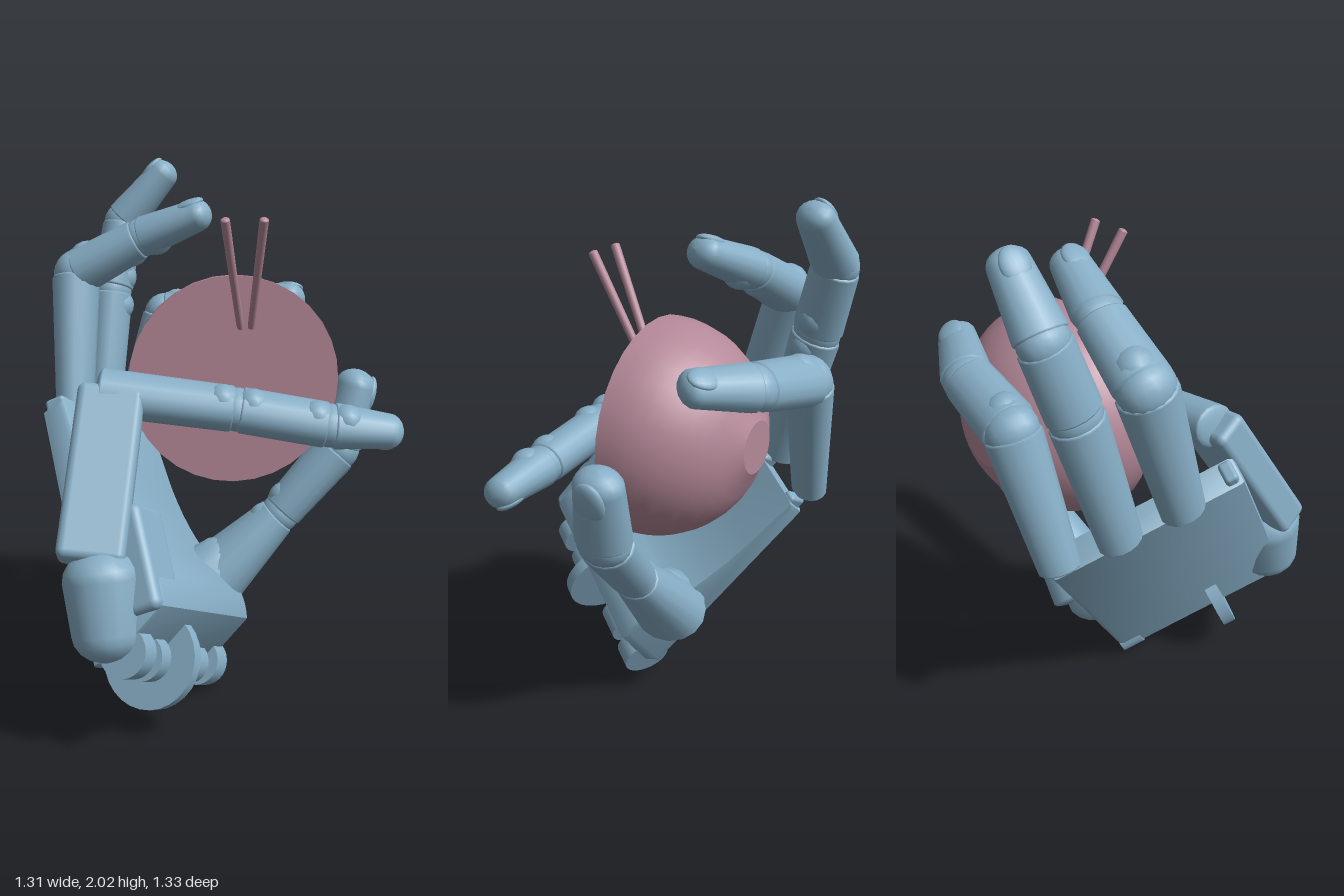
import * as THREE from 'three';
import { toCreasedNormals } from 'three/addons/utils/BufferGeometryUtils.js';
import { RoundedBoxGeometry } from 'three/addons/geometries/RoundedBoxGeometry.js';

const V = (p) => new THREE.Vector3(...p);
const blue = new THREE.MeshStandardMaterial({ color: 0x87aec6 });
const mauve = new THREE.MeshStandardMaterial({ color: 0xb48898 });

function add(parent, name, geometry, material = blue) {
  const mesh = new THREE.Mesh(geometry, material);
  mesh.name = name;
  parent.add(mesh);
  return mesh;
}

// Turn a mesh so its y runs along dir and its x lies as near as possible to lateral
function orient(mesh, dir, lateral) {
  const y = dir.clone().normalize();
  const x = lateral.clone().addScaledVector(y, -lateral.dot(y)).normalize();
  const z = x.clone().cross(y);
  mesh.quaternion.setFromRotationMatrix(new THREE.Matrix4().makeBasis(x, y, z));
  return z;
}

// Rounded, tapering limb piece between two points
function limb(parent, name, a, b, ra, rb, { material = blue, roundA = 0.5, roundB = roundA, lateral = V([1, 0, 0]) } = {}) {
  const A = V(a), B = V(b), L = A.distanceTo(B);
  const pts = [];
  for (let i = 0; i <= 5; i++) {
    const t = (i / 5) * Math.PI / 2;
    pts.push(new THREE.Vector2(ra * Math.sin(t), ra * roundA * (1 - Math.cos(t))));
  }
  for (let i = 5; i >= 0; i--) {
    const t = (i / 5) * Math.PI / 2;
    pts.push(new THREE.Vector2(rb * Math.sin(t), L - rb * roundB * (1 - Math.cos(t))));
  }
  const m = add(parent, name, new THREE.LatheGeometry(pts, 16), material);
  m.position.copy(A);
  orient(m, B.sub(A), lateral);
  return m;
}

// Finger: slightly flat bones along points, knuckles and pads at the joints, nail on the last bone
function finger(parent, name, points, radii, nailSide) {
  const g = new THREE.Group();
  g.name = name;
  parent.add(g);
  const last = points.length - 2;
  const a = V(points[last]), b = V(points[last + 1]);
  const tipDir = b.clone().sub(a).normalize();
  const lateral = tipDir.clone().cross(V(nailSide)).normalize();
  const wide = 1.1, thin = 0.92;
  for (let i = 0; i <= last; i++) {
    const tip = i === last;
    const bone = limb(g, tip ? 'fingertip' : 'fingerBone', points[i], points[i + 1], radii[i], radii[i + 1],
      { roundA: 0.25, roundB: tip ? 0.8 : 0.25, lateral });
    bone.scale.set(wide, 1, thin);
    if (i > 0) {
      const r = radii[i];
      const d = V(points[i + 1]).sub(V(points[i - 1])).normalize();
      const knuckle = add(g, 'knuckle', new THREE.SphereGeometry(r * 0.95, 16, 12));
      knuckle.position.copy(V(points[i]));
      const side = orient(knuckle, d, lateral);
      knuckle.scale.set(wide, 1, thin);
      for (const s of [-0.65, 0.65]) {
        const pad = add(g, 'jointPad', new THREE.SphereGeometry(r * 0.78, 14, 10));
        pad.position.copy(V(points[i])).addScaledVector(side, -r * 0.28).addScaledVector(d, s * r);
      }
    }
  }
  const r = radii[last + 1];
  const nail = add(g, 'nail', new THREE.SphereGeometry(1, 16, 10));
  nail.scale.set(r * 0.75, r * 0.95, r * 0.3);
  const out = orient(nail, tipDir, lateral);
  nail.position.copy(b).addScaledVector(tipDir, -r * 1.1).addScaledVector(out, r * 0.72);
}

function buildPalm(parent) {
  const across = V([-0.33, 0.27, 0.57]);
  const along = V([-0.2, 0.86, -0.6]).normalize();
  const face = along.clone().cross(across).normalize();
  const side = along.clone().cross(face);
  const palm = new THREE.Group();
  palm.name = 'palm';
  palm.position.set(-0.48, 0.3, 0.6);
  palm.quaternion.setFromRotationMatrix(new THREE.Matrix4().makeBasis(along, face, side));
  parent.add(palm);

  // Wedge: thick at the wrist, thin at the knuckles
  const s = new THREE.Shape();
  s.moveTo(0.06, 0.02);
  s.lineTo(0.98, 0.02);
  s.lineTo(1.0, 0.08);
  s.lineTo(0.78, 0.1);
  s.quadraticCurveTo(0.5, 0.14, 0.38, 0.24);
  s.quadraticCurveTo(0.28, 0.31, 0.18, 0.29);
  s.lineTo(0.06, 0.08);
  s.closePath();
  const body = new THREE.ExtrudeGeometry(s, {
    depth: 0.71, bevelEnabled: true, bevelSize: 0.02, bevelThickness: 0.02, bevelSegments: 2, curveSegments: 8,
  });
  body.translate(0, 0, 0.01);
  add(palm, 'palmBody', toCreasedNormals(body, 0.6));

  // Raised pad on the little finger's side
  add(palm, 'heelPad', new RoundedBoxGeometry(0.38, 0.18, 0.2, 3, 0.03)).position.set(0.35, 0.22, 0.06);

  // Wrist hinge lobes and the larger pivot disc: [along, face, side, radius, width]
  for (const [l, n, z, r, w] of [
    [0.06, 0.12, 0.04, 0.09, 0.08], [0.05, 0.11, 0.18, 0.085, 0.07], [0.06, 0.08, 0.29, 0.185, 0.05],
    [0.05, 0.09, 0.52, 0.08, 0.12], [0.06, 0.085, 0.69, 0.095, 0.09],
  ]) {
    const c = add(palm, r > 0.15 ? 'pivotDisc' : 'wristLobe', new THREE.CylinderGeometry(r, r, w, 28));
    c.rotation.x = Math.PI / 2;
    c.position.set(l, n, z);
  }
  // Knuckle hinge tabs between the fingers
  for (const z of [0.03, 0.25, 0.48, 0.7]) {
    add(palm, 'knuckleTab', new RoundedBoxGeometry(0.1, 0.08, 0.05, 2, 0.015)).position.set(0.99, 0.05, z);
  }
}

export function createModel() {
  const model = new THREE.Group();
  model.name = 'handHoldingHalfBall';
  const hand = new THREE.Group();
  hand.name = 'hand';
  model.add(hand);
  buildPalm(hand);

  // Curled fingers
  finger(hand, 'indexFinger',
    [[-0.36, 0.86, -0.53], [-0.19, 1.37, -0.58], [0.11, 1.42, -0.52], [0.36, 1.46, -0.37]],
    [0.07, 0.092, 0.085, 0.066], [0.2, 1, -0.6]);
  finger(hand, 'middleFinger',
    [[-0.46, 0.93, -0.34], [-0.41, 1.48, -0.5], [-0.36, 1.75, -0.58], [-0.16, 1.98, -0.56]],
    [0.075, 0.09, 0.085, 0.066], [-0.3, 1, -0.2]);
  finger(hand, 'ringFinger',
    [[-0.56, 1.01, -0.14], [-0.545, 1.57, -0.33], [-0.29, 1.71, -0.28], [-0.03, 1.82, -0.19]],
    [0.075, 0.098, 0.085, 0.066], [-0.3, 1, 0]);
  finger(hand, 'littleFinger',
    [[-0.47, 1.2, 0.13], [0.04, 1.13, 0.16], [0.38, 1.07, 0.19], [0.65, 1.04, 0.2]],
    [0.088, 0.085, 0.085, 0.065], [0, -0.9, -0.45]);

  // Side plate carrying the little finger, with its rounded heel
  const plate = add(hand, 'littleFingerPlate', new RoundedBoxGeometry(0.24, 0.64, 0.14, 3, 0.03));
  orient(plate, V([0.08, 0.5, -0.32]), V([1, 0, 0]));
  plate.position.set(-0.45, 0.94, 0.31);
  limb(hand, 'plateHeel', [-0.46, 0.72, 0.45], [-0.43, 0.34, 0.56], 0.14, 0.125, { roundA: 0.8 });

  // Thumb on a swelling at the palm's edge
  limb(hand, 'thumbMount', [-0.17, 0.29, -0.05], [0.08, 0.49, -0.11], 0.15, 0.12, { roundA: 0.8 });
  finger(hand, 'thumb',
    [[-0.06, 0.34, -0.1], [0.24, 0.635, -0.11], [0.47, 0.89, -0.14], [0.56, 1.2, -0.18]],
    [0.145, 0.088, 0.1, 0.086], [1, -0.2, 0]);

  // Half ball, flattened a little at its back
  const R = 0.405, profile = [new THREE.Vector2(0, R)];
  for (let i = 0; i <= 10; i++) {
    const t = 0.24 + (i / 10) * (Math.PI / 2 - 0.24);
    profile.push(new THREE.Vector2(R * Math.sin(t), R * Math.cos(t) * (i ? 1 : 1.03)));
  }
  profile.push(new THREE.Vector2(0, 0));
  const ball = new THREE.LatheGeometry(profile.reverse(), 32);
  const half = add(model, 'halfBall', toCreasedNormals(ball, 0.4), mauve);
  half.rotation.x = -Math.PI / 2;
  half.position.set(0.055, 1.18, -0.1);

  // Two slim sticks
  limb(model, 'stick', [0.08, 1.38, -0.11], [0, 1.81, 0.12], 0.014, 0.017, { material: mauve });
  limb(model, 'stick', [0.12, 1.38, -0.11], [0.14, 1.81, 0.12], 0.014, 0.017, { material: mauve });
  return model;
}
